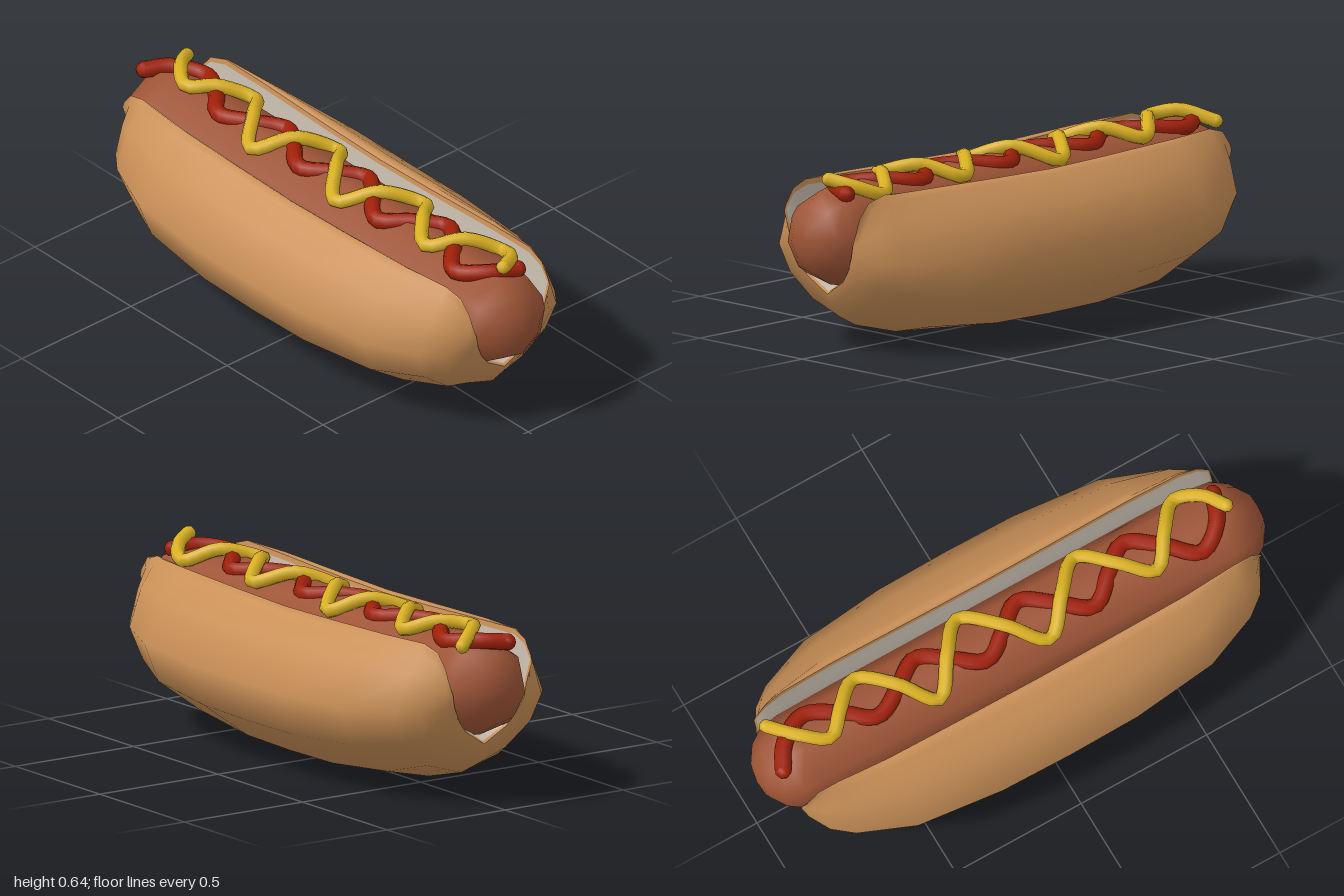
import * as THREE from 'three';

const mat = (name, color, extra = {}) => {
  const m = new THREE.MeshStandardMaterial({ color, ...extra });
  m.name = name;
  return m;
};

// Half cross-sections of the bun as [z, y], from rim to bottom centre
const OUTER = [[0.2, 0.575], [0.213, 0.586], [0.24, 0.574], [0.335, 0.49], [0.43, 0.325], [0.38, 0.175], [0.195, 0.042], [0, 0]];
const INNER = [[0.2, 0.575], [0.197, 0.555], [0.185, 0.5], [0.172, 0.44], [0.165, 0.365], [0.135, 0.31], [0.095, 0.265], [0, 0.21]];

// Bun stations: [x, wall thickness factor, rim height factor]
const HALF = [[0, 1, 0.86], [0.27, 0.985, 0.89], [0.59, 0.855, 0.95], [0.79, 0.61, 1], [0.86, 0.43, 0.9], [0.9, 0.15, 0.66], [0.908, 0, 0.56]];
const STATIONS = [...HALF.slice(1).reverse().map(([x, t, k]) => [-x, t, k]), ...HALF];

// One full cross-section, mirrored front to back
function section([x, t, k], wall) {
  const lift = wall ? 1 : 1 - 0.25 * Math.min(1, t * 1.5);
  const half = INNER.map(([iz, iy], i) => {
    const f = wall ? t : 0;
    const z = iz + (OUTER[i][0] - iz) * f;
    const y = iy + (OUTER[i][1] - iy) * f;
    const px = x * (1 - 0.08 * Math.max(0, (0.365 - y) / 0.365));
    const py = 0.365 + (y - 0.365) * (y > 0.365 ? k : lift);
    return [px, py, z * (1 - 0.1 * Math.max(0, Math.abs(x) - 0.7) / 0.2)];
  });
  return [...half, ...half.slice(0, -1).reverse().map(([a, b, c]) => [a, b, -c])];
}

// Skin a list of cross-sections; group 0 is the border band, group 1 the middle
function loft(rows, flip) {
  const n = rows[0].length, border = [], middle = [];
  for (let i = 0; i < rows.length - 1; i++) {
    for (let j = 0; j < n - 1; j++) {
      const a = i * n + j, b = a + 1, c = a + n, d = c + 1;
      const edge = i === 0 || i === rows.length - 2 || j === 0 || j === n - 2;
      (edge ? border : middle).push(...(flip ? [a, c, b, b, c, d] : [a, b, c, b, d, c]));
    }
  }
  const g = new THREE.BufferGeometry();
  g.setAttribute('position', new THREE.Float32BufferAttribute(rows.flat(2), 3));
  g.setIndex([...border, ...middle]);
  g.addGroup(0, border.length, 0);
  g.addGroup(border.length, middle.length, 1);
  g.computeVertexNormals();
  return g;
}

function addMesh(parent, name, geometry, material) {
  const m = new THREE.Mesh(geometry, material);
  m.name = name;
  parent.add(m);
  return m;
}

// Squeezed sauce line with rounded ends
function sauce(name, points, radius, material) {
  const g = new THREE.Group();
  g.name = name;
  const pts = points.map((p) => new THREE.Vector3(...p));
  const curve = new THREE.CatmullRomCurve3(pts);
  addMesh(g, name + 'Line', new THREE.TubeGeometry(curve, 90, radius, 8), material);
  for (const p of [pts[0], pts[pts.length - 1]]) {
    addMesh(g, name + 'End', new THREE.SphereGeometry(radius, 8, 6), material).position.copy(p);
  }
  return g;
}

export function createModel() {
  const model = new THREE.Group();
  model.name = 'hotDog';
  const crust = mat('crust', 0xca9057, { side: THREE.DoubleSide });
  const crumb = mat('crumb', 0xc2b8aa, { side: THREE.DoubleSide });
  const meat = mat('meat', 0x9f5537);
  const red = mat('ketchup', 0xa02009);
  const yellow = mat('mustard', 0xd9b022);

  // Split bun: crust outside, pale inside with a crust lip
  const bun = new THREE.Group();
  bun.name = 'bun';
  addMesh(bun, 'bunCrust', loft(STATIONS.map((s) => section(s, true)), false), [crust, crust]);
  addMesh(bun, 'bunInside', loft(STATIONS.map((s) => section(s, false)), true), [crust, crumb]);
  model.add(bun);

  // Eight-sided sausage lying along x
  const sausage = new THREE.CapsuleGeometry(0.175, 1.65, 4, 8);
  sausage.rotateZ(Math.PI / 2).rotateX(0.175);
  addMesh(model, 'sausage', sausage, meat).position.y = 0.41;

  // Ketchup wave, following the curve of the sausage top
  const ketchupXZ = [[-0.93, 0.06], [-0.88, -0.02], [-0.77, -0.085], [-0.66, -0.03], [-0.55, 0.05], [-0.44, 0], [-0.33, -0.07],
    [-0.22, 0], [-0.12, 0.06], [-0.02, 0], [0.08, -0.075], [0.19, 0], [0.3, 0.075], [0.4, 0], [0.5, -0.075], [0.61, 0],
    [0.72, 0.09], [0.82, 0.02], [0.86, -0.075]];
  model.add(sauce('ketchup', ketchupXZ.map(([x, z]) => [x, 0.57 + 0.01 * x * x - 1.5 * z * z, z]), 0.03, red));

  // Mustard wave on top
  const mustardXZ = [[-0.9, -0.11], [-0.82, -0.01], [-0.73, 0.045], [-0.65, -0.03], [-0.55, -0.11], [-0.44, -0.01], [-0.33, 0.1],
    [-0.23, -0.02], [-0.13, -0.125], [-0.01, -0.01], [0.11, 0.1], [0.22, -0.01], [0.33, -0.115], [0.44, -0.01], [0.55, 0.075],
    [0.64, -0.03], [0.73, -0.125], [0.82, -0.08], [0.87, 0]];
  const mustardY = (x, z) => 0.602 + 0.014 * x * x - 3.2 * z * z - 0.12 * Math.max(z, 0);
  model.add(sauce('mustard', mustardXZ.map(([x, z]) => [x, mustardY(x, z), z]), 0.025, yellow));

  return model;
}
